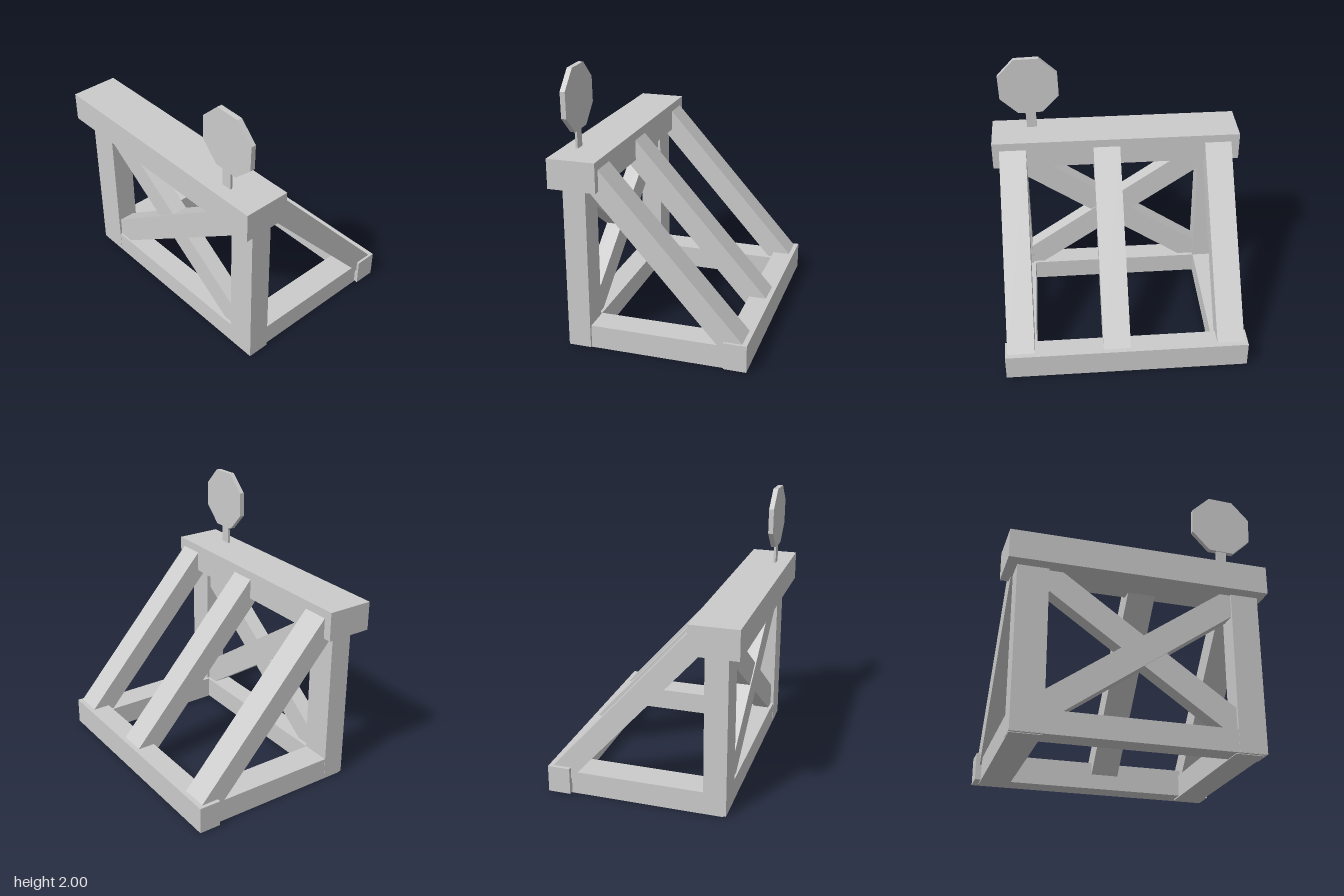
import * as THREE from 'three';

const material = new THREE.MeshStandardMaterial({ color: 0xcccccc, flatShading: true });

export function createModel() {
  const model = new THREE.Group();

  function add(name, geometry) {
    const mesh = new THREE.Mesh(geometry, material);
    mesh.name = name;
    model.add(mesh);
    return mesh;
  }

  // Square timber given by its limits on each axis
  function beam(name, x0, x1, y0, y1, z0, z1) {
    const mesh = add(name, new THREE.BoxGeometry(x1 - x0, y1 - y0, z1 - z0));
    mesh.position.set((x0 + x1) / 2, (y0 + y1) / 2, (z0 + z1) / 2);
    return mesh;
  }

  // Outline in the x-y plane, extruded along z
  function slab(name, points, z0, z1) {
    const shape = new THREE.Shape(points.map(([x, y]) => new THREE.Vector2(x, y)));
    const geometry = new THREE.ExtrudeGeometry(shape, { depth: z1 - z0, bevelEnabled: false });
    return add(name, geometry.translate(0, 0, z0));
  }

  // Long timbers
  beam('topBeam', -0.70, -0.35, 1.20, 1.415, -0.95, 0.945);
  beam('footBeam', 0.535, 0.70, 0.01, 0.21, -0.915, 0.91);
  beam('wallSill', -0.608, -0.445, 0.005, 0.17, -0.86, 0.88);

  // Upright posts
  beam('frontPost', -0.61, -0.445, 0.008, 1.21, 0.695, 0.90);
  beam('backPost', -0.61, -0.445, 0.008, 1.21, -0.875, -0.65);

  // Base timbers joining the wall to the foot beam
  beam('frontBaseBeam', -0.59, 0.64, 0, 0.17, 0.675, 0.88);
  beam('backBaseBeam', -0.59, 0.64, 0, 0.17, -0.873, -0.655);

  // Sloping struts
  const strut = [[-0.43, 1.20], [0.545, 0.11], [0.665, 0.212], [-0.35, 1.352], [-0.40, 1.40]];
  for (const z of [0.79, 0.073, -0.785]) slab('slopingStrut', strut, z - 0.102, z + 0.102);

  // Crossed wall braces, cut off inside the posts, sill and top beam
  const slope = 0.70, half = 0.114, middleZ = 0.035, middleY = 0.68;
  for (const side of [1, -1]) {
    const reach = 0.74;
    const brace = slab('crossBrace', [
      [-reach, -slope * reach - half], [reach, slope * reach - half],
      [reach, slope * reach + half], [-reach, -slope * reach + half],
    ], -0.06, 0.06);
    brace.rotation.y = side * Math.PI / 2;
    brace.position.set(-0.53 + side * 0.004, middleY, middleZ);
  }

  // Round sign plate with eight sides on a short, slightly leaning stalk
  const plate = new THREE.CylinderGeometry(0.243, 0.243, 0.037, 8);
  plate.rotateZ(Math.PI / 2).rotateX(Math.PI / 8 + 0.03);
  add('signPlate', plate).position.set(-0.59, 1.776, 0.647);
  const stalk = beam('signStalk', -0.602, -0.585, 1.38, 1.60, 0.60, 0.678);
  stalk.rotation.x = 0.035;

  return model;
}
